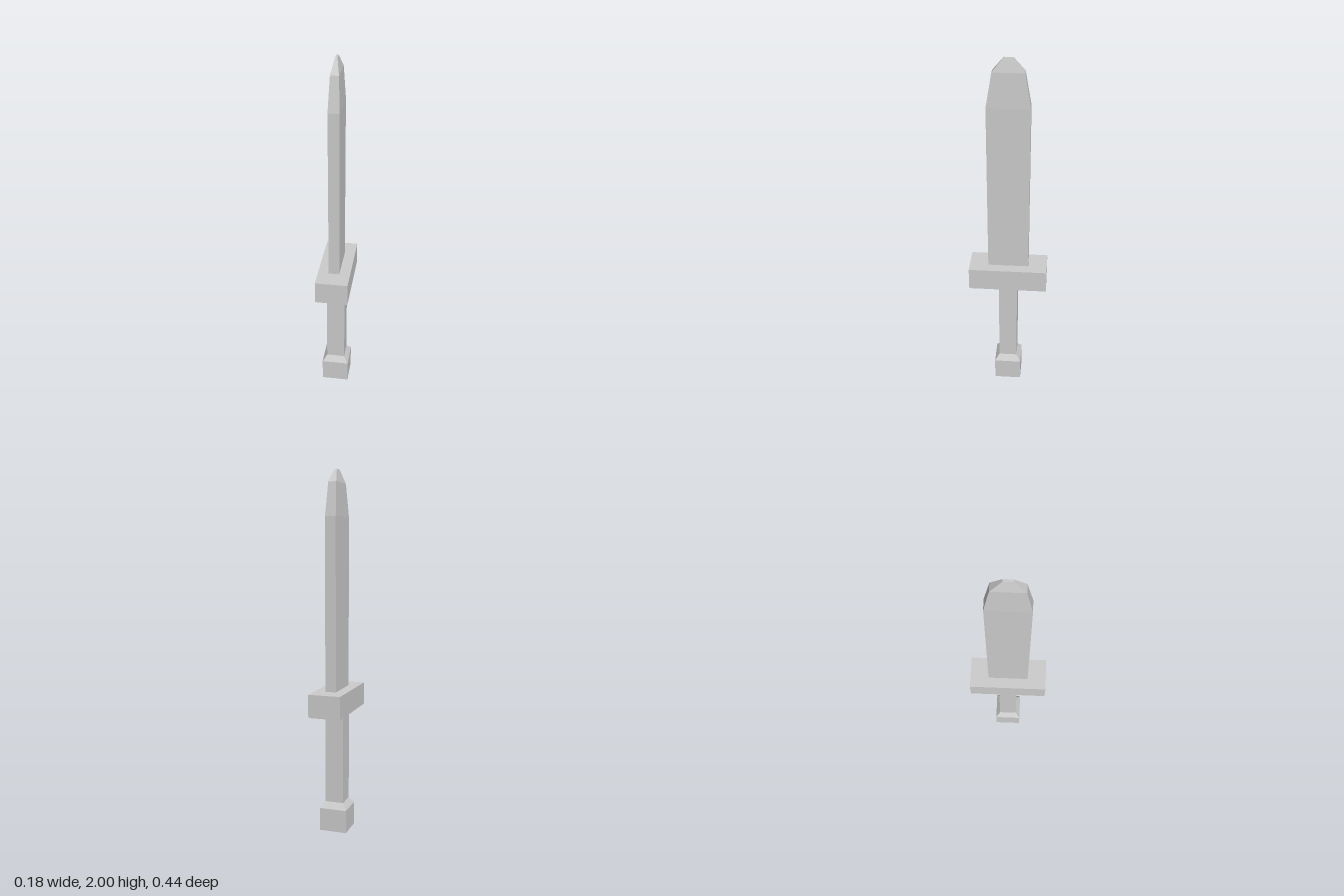
import * as THREE from 'three';

// Stacks rectangular sections [y, halfX, halfZ] into a closed, flat-faced solid
function loft(name, sections) {
  const rings = sections.map(([y, x, z]) => [[x, y, z], [x, y, -z], [-x, y, -z], [-x, y, z]]);
  const pos = [];
  const quad = (a, b, c, d) => pos.push(...a, ...b, ...c, ...a, ...c, ...d);
  for (let r = 0; r < rings.length - 1; r++) {
    for (let i = 0; i < 4; i++) {
      const j = (i + 1) % 4;
      quad(rings[r][i], rings[r][j], rings[r + 1][j], rings[r + 1][i]);
    }
  }
  const [a, b, c, d] = rings[0];
  quad(d, c, b, a);
  quad(...rings[rings.length - 1]);
  const geometry = new THREE.BufferGeometry();
  geometry.setAttribute('position', new THREE.Float32BufferAttribute(pos, 3));
  geometry.computeVertexNormals();
  const mesh = new THREE.Mesh(geometry, new THREE.MeshStandardMaterial({ color: 0xcccccc, flatShading: true }));
  mesh.name = name;
  return mesh;
}

export function createModel() {
  const group = new THREE.Group();
  group.name = 'sword';

  // Handle: square pommel with a chamfered shoulder running into the grip
  group.add(loft('handle', [
    [0, 0.077, 0.077], [0.13, 0.077, 0.077], [0.165, 0.052, 0.052], [0.685, 0.052, 0.052],
  ]));

  // Crossguard, long along z
  group.add(loft('crossguard', [[0.683, 0.09, 0.218], [0.81, 0.09, 0.218]]));

  // Blade, narrowing in two steps to a small blunt tip
  group.add(loft('blade', [
    [0.81, 0.03, 0.113], [1.75, 0.03, 0.113], [1.93, 0.022, 0.082], [2, 0.006, 0.024],
  ]));

  return group;
}
